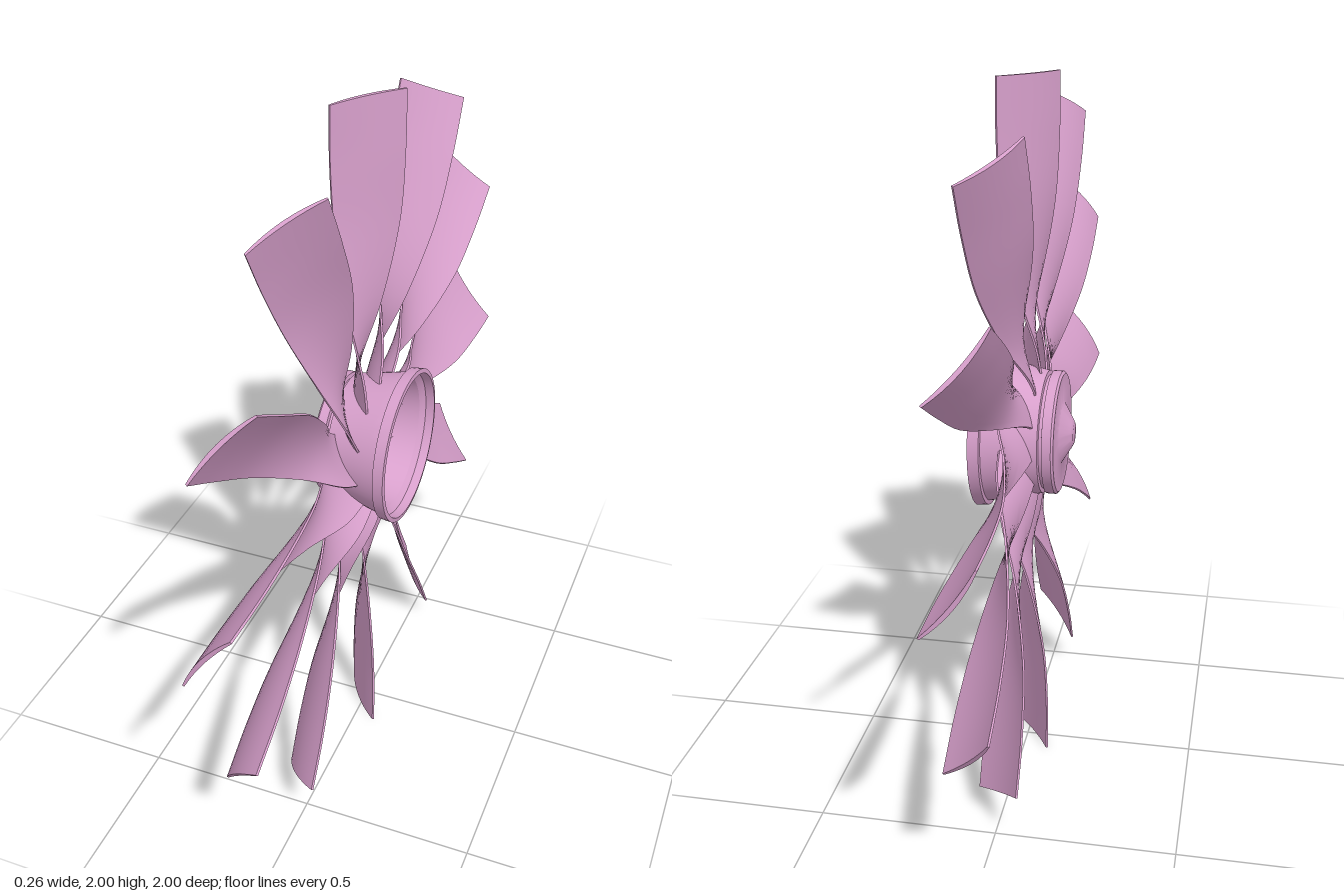
import * as THREE from 'three';
import { toCreasedNormals } from 'three/addons/utils/BufferGeometryUtils.js';

const BLADES = 12;
const material = new THREE.MeshStandardMaterial({ color: 0xd8a0cc });

// Edge curve through [axial x, radius, tangential t] points
const edge = (points) =>
  new THREE.CatmullRomCurve3(points.map(([x, r, t]) => new THREE.Vector3(x, r, -t)));

// Twisted, cambered blade pointing up, lofted between its two edges
function bladeGeometry() {
  const trailing = edge([
    [0.045, 0.145, -0.115], [0.035, 0.25, -0.113], [-0.015, 0.42, -0.09],
    [-0.06, 0.65, -0.075], [-0.072, 0.84, -0.072], [-0.072, 1, -0.07],
  ]);
  const leading = edge([
    [-0.045, 0.145, 0.01], [-0.03, 0.25, 0.022], [0.015, 0.42, 0.06],
    [0.052, 0.65, 0.1], [0.062, 0.84, 0.107], [0.062, 1, 0.11],
  ]);
  const rows = 28, cols = 8, n = 2 * (cols + 1);
  const positions = [], index = [];

  for (let i = 0; i <= rows; i++) {
    const a = trailing.getPoint(i / rows), b = leading.getPoint(i / rows);
    const chord = b.clone().sub(a);
    const normal = new THREE.Vector3(chord.z, 0, -chord.x).normalize();
    for (let k = 0; k < n; k++) {
      const front = k <= cols;
      const s = (front ? k : n - 1 - k) / cols;
      const arch = 4 * s * (1 - s);
      const half = 0.003 + 0.003 * arch;
      const p = a.clone().lerp(b, s).addScaledVector(normal, 0.012 * arch + (front ? half : -half));
      positions.push(p.x, p.y, p.z);
    }
  }
  // Skin
  for (let i = 0; i < rows; i++) {
    for (let k = 0; k < n; k++) {
      const a = i * n + k, b = i * n + (k + 1) % n;
      index.push(a, a + n, b + n, a, b + n, b);
    }
  }
  // Root and tip caps
  const tip = rows * n;
  for (let k = 0; k < cols; k++) {
    const [a, b, c, d] = [k, k + 1, n - 2 - k, n - 1 - k];
    index.push(a, b, c, a, c, d);
    index.push(tip + a, tip + c, tip + b, tip + a, tip + d, tip + c);
  }
  const g = new THREE.BufferGeometry();
  g.setAttribute('position', new THREE.Float32BufferAttribute(positions, 3));
  g.setIndex(index);
  return toCreasedNormals(g, 0.7);
}

// Hollow hub turned about the axle: [radius, axial position]
function hubGeometry() {
  const profile = [
    // nose, back plate and groove
    [0, -0.135], [0.03, -0.134], [0.042, -0.128], [0.085, -0.102], [0.09, -0.1],
    [0.168, -0.1], [0.175, -0.094], [0.175, -0.068], [0.163, -0.066], [0.163, -0.058],
    // outer wall and rim
    [0.175, -0.056], [0.182, -0.02], [0.192, 0.03], [0.202, 0.07], [0.207, 0.095],
    [0.219, 0.097], [0.222, 0.128], [0.209, 0.13],
    // inner wall and floor
    [0.205, 0.105], [0.19, 0.09], [0.178, 0.03], [0.165, -0.02], [0.15, -0.045],
    [0.125, -0.058], [0.09, -0.064], [0.075, -0.07], [0.035, -0.1], [0, -0.104],
  ].map(([r, x]) => new THREE.Vector2(r, x));
  return toCreasedNormals(new THREE.LatheGeometry(profile, 64), 0.5);
}

export function createModel() {
  const model = new THREE.Group();
  model.name = 'fan';

  const hub = new THREE.Mesh(hubGeometry(), material);
  hub.name = 'hub';
  hub.rotation.z = -Math.PI / 2;
  hub.position.y = 1.01;
  model.add(hub);

  const blades = new THREE.Group();
  blades.name = 'blades';
  blades.position.y = 1;
  const geometry = bladeGeometry();
  for (let i = 0; i < BLADES; i++) {
    const blade = new THREE.Mesh(geometry, material);
    blade.name = 'blade' + (i + 1);
    blade.rotation.x = (i / BLADES) * Math.PI * 2;
    blades.add(blade);
  }
  model.add(blades);
  return model;
}
